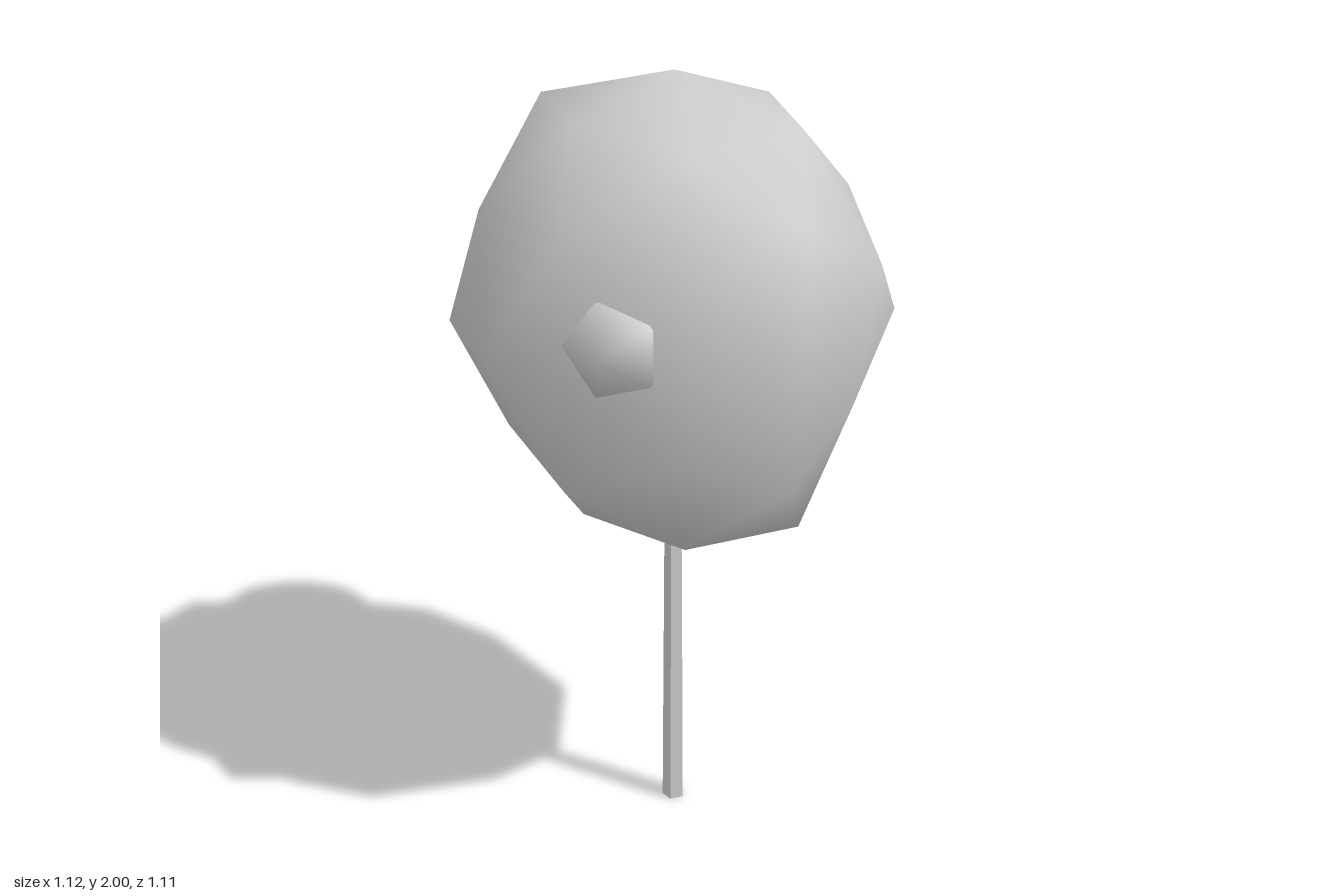
import * as THREE from 'three';
import { mergeVertices } from 'three/addons/utils/BufferGeometryUtils.js';

const leafMat = new THREE.MeshStandardMaterial({ color: 0xcccccc });
const trunkMat = new THREE.MeshStandardMaterial({ color: 0xcccccc, flatShading: true });

// Smooth-shaded low-poly ball; each bump pulls the nearest corner onto itself
function foliage(name, detail, size, centre, bumps = []) {
  let geo = new THREE.IcosahedronGeometry(1, detail).rotateY(Math.PI / 2).scale(...size);
  geo.deleteAttribute('normal');
  geo.deleteAttribute('uv');
  geo = mergeVertices(geo, 1e-3);
  const pos = geo.attributes.position;
  const corners = Array.from({ length: pos.count }, (_, i) => new THREE.Vector3().fromBufferAttribute(pos, i));
  for (const bump of bumps) {
    const target = new THREE.Vector3(...bump);
    const gaps = corners.map((corner) => corner.distanceTo(target));
    pos.setXYZ(gaps.indexOf(Math.min(...gaps)), ...bump);
  }
  geo.computeVertexNormals();
  const mesh = new THREE.Mesh(geo, leafMat);
  mesh.name = name;
  mesh.position.set(...centre);
  return mesh;
}

export function createModel() {
  const tree = new THREE.Group();
  tree.name = 'tree';

  // Slim five-sided trunk, its top sunk into the crown
  const trunk = new THREE.Mesh(new THREE.CylinderGeometry(0.025, 0.03, 0.84, 5), trunkMat);
  trunk.name = 'trunk';
  trunk.position.set(0.043, 0.42, 0);
  trunk.rotation.y = Math.PI;
  tree.add(trunk);

  // Main crown with a few pushed and dented corners
  tree.add(foliage('crown', 1, [0.555, 0.61, 0.555], [0.04, 1.39, 0], [
    // upper half
    [-0.29, 0.53, 0.19],
    [-0.29, 0.53, -0.16],
    [0.515, 0.32, 0],
    [-0.5, 0.37, 0],
    [0.16, 0.3, -0.42],
    // widest band
    [0.515, 0, 0],
    [-0.6, 0.05, 0],
    [0.18, 0.02, 0.47],
    [0.4, -0.17, -0.25],
    [-0.43, -0.13, 0.26],
    // underside
    [-0.44, -0.25, 0],
    [-0.13, -0.24, 0.41],
    [0.31, -0.51, -0.16],
    [-0.23, -0.4, 0.15],
    [-0.23, -0.4, -0.15],
    [0, -0.47, 0.28],
    [0, -0.46, -0.28],
  ]));

  // Smaller clumps growing out of the crown
  tree.add(foliage('frontClump', 0, [0.135, 0.133, 0.135], [0.3, 1.457, 0.345]));
  tree.add(foliage('backClump', 1, [0.195, 0.2, 0.215], [-0.3, 1.635, -0.21]));

  return tree;
}
